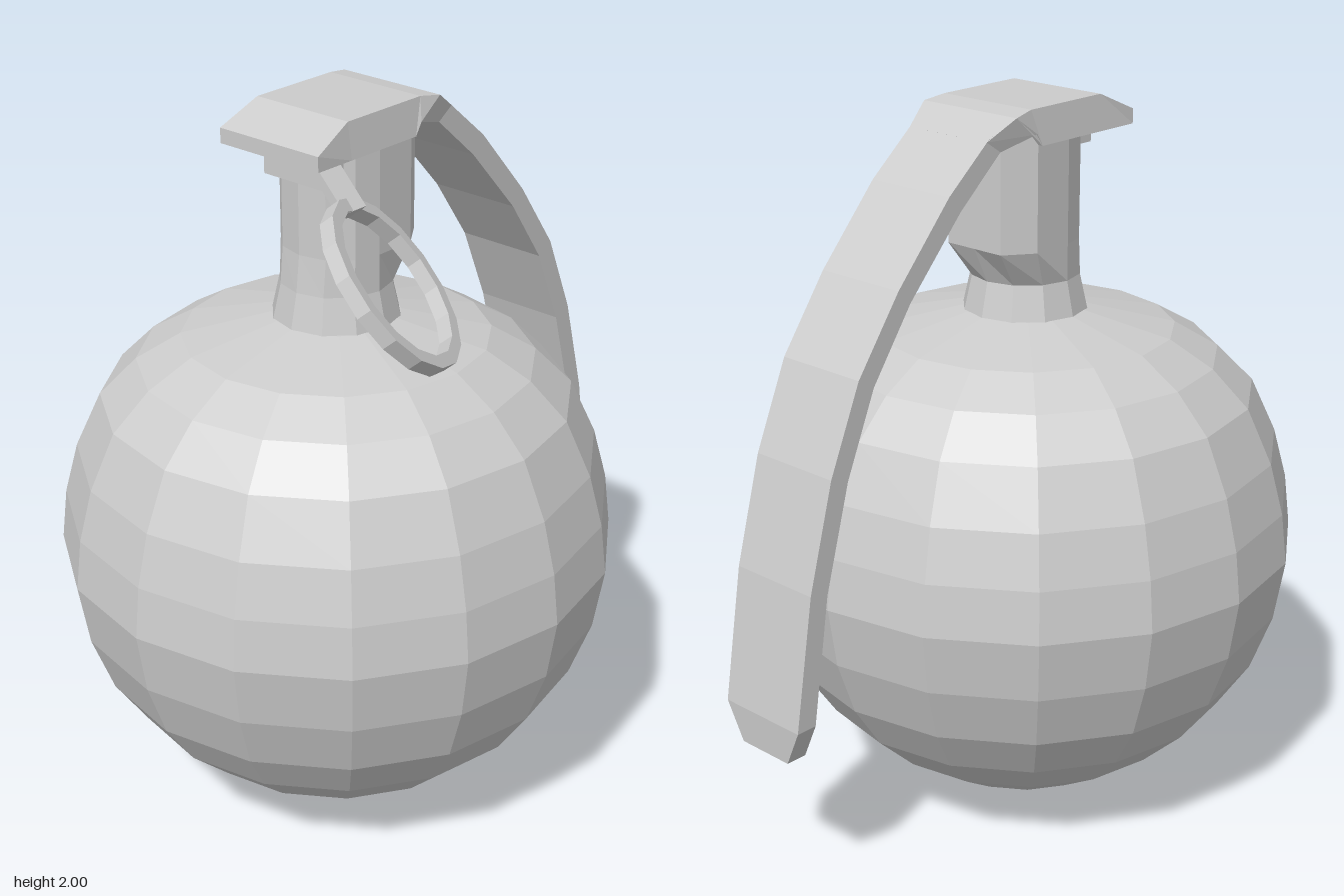
import * as THREE from 'three';

const material = new THREE.MeshStandardMaterial({ color: 0xcccccc, flatShading: true });
const AXIS_X = -0.12; // axis of body and neck

function addMesh(group, name, geometry) {
  const flat = geometry.index ? geometry.toNonIndexed() : geometry;
  flat.computeVertexNormals();
  const mesh = new THREE.Mesh(flat, material);
  mesh.name = name;
  group.add(mesh);
  return mesh;
}

const lathe = (points, sides) =>
  new THREE.LatheGeometry(points.map(([r, y]) => new THREE.Vector2(r, y)), sides);

// Solid strip through sections [outerX, outerY, innerX, innerY, outerHalfZ, innerHalfZ]
function strip(sections) {
  const positions = [], index = [];
  for (const [ox, oy, ix, iy, oz, iz] of sections) {
    positions.push(ox, oy, oz, ox, oy, -oz, ix, iy, -iz, ix, iy, iz);
  }
  const last = (sections.length - 1) * 4;
  for (let i = 0; i < last; i += 4) {
    for (let j = 0; j < 4; j++) {
      const k = (j + 1) % 4;
      const a = i + j, b = i + k, c = i + 4 + k, d = i + 4 + j;
      index.push(a, d, b, d, c, b);
    }
  }
  index.push(0, 1, 2, 0, 2, 3, last, last + 2, last + 1, last, last + 3, last + 2);
  const geometry = new THREE.BufferGeometry();
  geometry.setAttribute('position', new THREE.Float32BufferAttribute(positions, 3));
  geometry.setIndex(index);
  return geometry;
}

export function createModel() {
  const group = new THREE.Group();

  // Faceted round body
  const body = addMesh(group, 'body', lathe([
    [0, 0], [0.11, 0.012], [0.28, 0.07], [0.455, 0.185], [0.58, 0.305], [0.67, 0.44],
    [0.728, 0.6], [0.755, 0.77], [0.738, 0.91], [0.7, 1.05], [0.63, 1.2],
    [0.53, 1.3], [0.41, 1.37], [0.17, 1.425], [0, 1.43],
  ], 16));
  body.position.x = AXIS_X;

  // Neck: round at the foot, squared off towards the lever above
  const neckGeometry = lathe([[0.175, 1.41], [0.15, 1.52], [0.15, 1.62], [0.15, 1.94]], 12);
  const p = neckGeometry.attributes.position;
  for (let i = 0; i < p.count; i++) {
    if (p.getY(i) < 1.6) continue;
    const x = p.getX(i), z = p.getZ(i);
    if (x > 0.12) p.setXYZ(i, 0.2, p.getY(i), z * 1.25);
    else if (x > 0.05) p.setXYZ(i, 0.12, p.getY(i), Math.sign(z) * 0.15);
    else if (x < 0) p.setX(i, x * 0.92);
  }
  addMesh(group, 'neck', neckGeometry).position.x = AXIS_X;

  // Cap over the neck
  addMesh(group, 'cap', strip([
    [-0.36, 1.945, -0.36, 1.905, 0.165, 0.165],
    [-0.24, 2.0, -0.24, 1.905, 0.152, 0.165],
    [0.03, 2.0, 0.0, 1.905, 0.152, 0.165],
    [0.095, 1.99, 0.02, 1.938, 0.162, 0.165],
    [0.175, 1.938, 0.125, 1.905, 0.135, 0.135],
  ]));

  // Curved safety lever with a tapered tip
  addMesh(group, 'lever', strip([
    [0.095, 1.988, 0.03, 1.938, 0.135, 0.135],
    [0.17, 1.942, 0.12, 1.91, 0.135, 0.135],
    [0.31, 1.825, 0.27, 1.78, 0.135, 0.135],
    [0.49, 1.625, 0.45, 1.585, 0.135, 0.135],
    [0.63, 1.43, 0.58, 1.4, 0.135, 0.135],
    [0.73, 1.2, 0.675, 1.18, 0.135, 0.135],
    [0.81, 0.915, 0.755, 0.9, 0.135, 0.135],
    [0.87, 0.555, 0.81, 0.555, 0.135, 0.135],
    [0.865, 0.45, 0.805, 0.45, 0.085, 0.085],
  ]));

  // Lug under the cap that holds the pin
  const lug = addMesh(group, 'pinLug', new THREE.BoxGeometry(0.07, 0.07, 0.2));
  lug.position.set(-0.29, 1.88, 0.05);

  // Slanted tab from the lug to the ring
  const tab = addMesh(group, 'pinTab', new THREE.BoxGeometry(0.075, 0.025, 0.16));
  tab.position.set(-0.31, 1.865, 0.175);
  tab.rotation.x = 0.8;

  // Pull ring with a rectangular section
  const ring = addMesh(group, 'pullRing', lathe([
    [0.205, -0.02], [0.24, -0.02], [0.24, 0.02], [0.205, 0.02], [0.205, -0.02],
  ], 16));
  ring.position.set(-0.315, 1.655, 0.36);
  ring.quaternion.setFromUnitVectors(
    new THREE.Vector3(0, 1, 0), new THREE.Vector3(0.39, 0.63, 0.67).normalize());

  return group;
}
